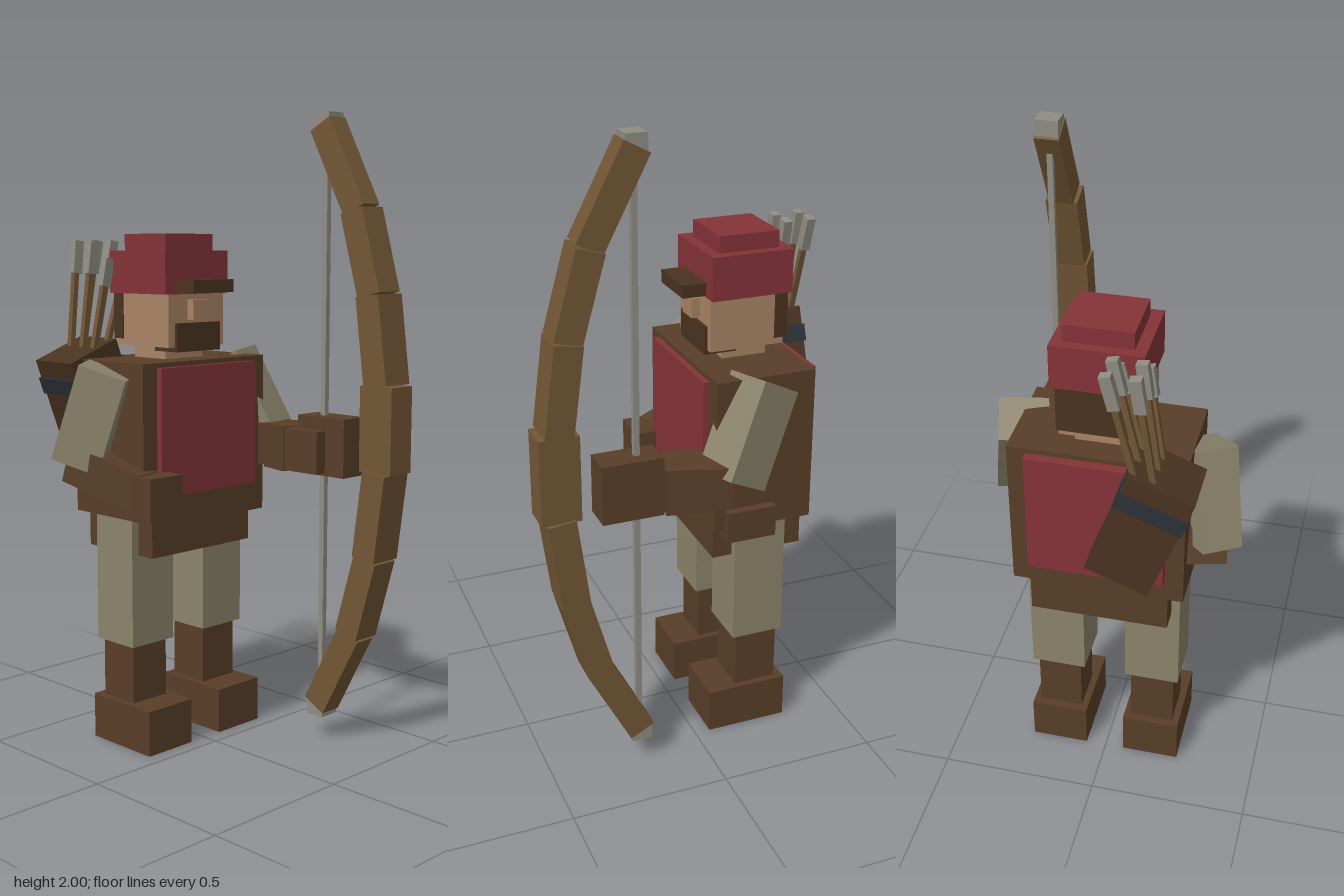
import * as THREE from 'three';

const mat = (color) => new THREE.MeshStandardMaterial({ color, flatShading: true });

export function createModel() {
  const model = new THREE.Group();
  const leather = mat(0x583e28), dark = mat(0x49331f), cloth = mat(0x8b836a), red = mat(0x843338),
    skin = mat(0xa98465), wood = mat(0x725635), metal = mat(0x8f8c82), band = mat(0x2c3136);

  // Box from its lower and upper corners
  function box(name, m, x0, x1, y0, y1, z0, z1, parent = model) {
    const mesh = new THREE.Mesh(new THREE.BoxGeometry(x1 - x0, y1 - y0, z1 - z0), m);
    mesh.position.set((x0 + x1) / 2, (y0 + y1) / 2, (z0 + z1) / 2);
    mesh.name = name;
    parent.add(mesh);
    return mesh;
  }

  // Box running from a to b; hint steers its width axis
  function limb(name, m, a, b, w, d, hint = [1, 0, 0]) {
    const A = new THREE.Vector3(...a), B = new THREE.Vector3(...b);
    const y = B.clone().sub(A), len = y.length();
    y.normalize();
    const z = new THREE.Vector3(...hint).cross(y).normalize();
    const x = y.clone().cross(z);
    const mesh = new THREE.Mesh(new THREE.BoxGeometry(w, len, d), m);
    mesh.quaternion.setFromRotationMatrix(new THREE.Matrix4().makeBasis(x, y, z));
    mesh.position.copy(A.add(B).multiplyScalar(0.5));
    mesh.name = name;
    model.add(mesh);
    return mesh;
  }

  // Legs
  for (const z of [0.152, -0.158]) {
    box('foot', leather, -0.315, -0.05, 0, 0.145, z - 0.092, z + 0.092);
    box('boot', leather, -0.288, -0.148, 0.145, 0.335, z - 0.07, z + 0.07);
    box('trouserLeg', cloth, -0.3, -0.13, 0.335, 0.75, z - 0.087, z + 0.087);
  }

  // Torso
  box('skirt', leather, -0.365, -0.066, 0.63, 0.76, -0.218, 0.212);
  box('jacket', leather, -0.37, -0.05, 0.75, 1.24, -0.27, 0.26);
  box('vestPanel', red, -0.4, -0.03, 0.825, 1.225, -0.212, 0.203);
  box('beltPouch', leather, -0.24, -0.08, 0.72, 0.82, -0.3, -0.2);

  // Head
  box('neck', skin, -0.29, -0.145, 1.23, 1.29, -0.085, 0.08);
  box('head', skin, -0.33, -0.09, 1.28, 1.46, -0.122, 0.117);
  box('hair', dark, -0.342, -0.3, 1.3, 1.45, -0.126, 0.121);
  box('nose', skin, -0.1, -0.063, 1.365, 1.427, -0.038, 0.036);
  box('beard', dark, -0.1, -0.08, 1.268, 1.355, -0.1, 0.09);
  box('chinBeard', dark, -0.185, -0.082, 1.265, 1.283, -0.098, 0.088);
  box('cap', red, -0.348, -0.087, 1.445, 1.58, -0.14, 0.132);
  box('capCrown', red, -0.315, -0.122, 1.58, 1.632, -0.107, 0.097);
  box('capBrim', dark, -0.1, -0.012, 1.45, 1.49, -0.092, 0.083);

  // Arm at the side
  limb('upperArm', cloth, [-0.185, 1.215, 0.285], [-0.275, 0.92, 0.325], 0.155, 0.125, [0.83, 0, -0.56]);
  limb('forearm', leather, [-0.3, 0.925, 0.315], [-0.05, 0.85, 0.25], 0.12, 0.12, [0, 1, 0]);
  box('hand', leather, -0.11, 0.038, 0.77, 0.905, 0.18, 0.312);

  // Arm holding the bow
  limb('upperArm', cloth, [-0.205, 1.225, -0.265], [-0.075, 0.95, -0.325], 0.145, 0.15, [0.95, 0, -0.3]);
  limb('forearm', leather, [-0.075, 0.95, -0.322], [0.05, 0.95, -0.289], 0.135, 0.132, [0, 1, 0]);
  limb('cuff', leather, [0.01, 0.95, -0.3], [0.12, 0.95, -0.271], 0.145, 0.142, [0, 1, 0]);
  box('wrist', leather, 0.1, 0.16, 0.885, 1.02, -0.33, -0.24);
  box('hand', leather, 0.14, 0.33, 0.877, 1.062, -0.33, -0.23);
  box('fingers', leather, 0.12, 0.255, 0.885, 1.02, -0.27, -0.19);

  // Bow, mirrored about its grip
  const bz = -0.28, mid = 1.04;
  box('bowGrip', wood, 0.392, 0.513, 0.907, 1.173, bz - 0.05, bz + 0.05);
  const curve = [[0.454, 0.132], [0.418, 0.406], [0.347, 0.66], [0.209, 0.925]];
  const depths = [0.116, 0.1, 0.076];
  for (const s of [1, -1]) {
    for (let i = 0; i < 3; i++) {
      const [p, q] = [curve[i], curve[i + 1]];
      limb('bowLimb', wood, [p[0], mid + s * p[1], bz], [q[0], mid + s * q[1], bz], 0.086, depths[i]);
    }
    const y = mid + s * 0.935;
    box('bowTip', metal, 0.178, 0.242, y - 0.025, y + 0.025, bz - 0.035, bz + 0.035);
  }
  box('bowString', metal, 0.2, 0.218, 0.1, 1.98, bz - 0.009, bz + 0.009);

  // Quiver leaning outward at the top
  const quiver = new THREE.Group();
  quiver.name = 'quiver';
  quiver.position.set(-0.421, 1.09, 0.152);
  quiver.rotation.x = 0.36;
  box('quiverBody', dark, -0.09, 0.09, -0.185, 0.185, -0.1, 0.1, quiver);
  box('quiverBand', band, -0.096, 0.096, 0.07, 0.125, -0.106, 0.106, quiver);
  model.add(quiver);

  // Arrows in two rows, fletched at the top
  const arrows = [[-0.48, -0.5, 1.61], [-0.42, -0.42, 1.61], [-0.365, -0.345, 1.555]];
  for (const [x0, x1, top] of arrows) {
    for (const [z0, z1] of [[0.19, 0.142], [0.14, 0.06]]) {
      const a = [x0, 1.26, z0], b = [x1, top, z1];
      const at = (t) => a.map((v, i) => v + (b[i] - v) * t);
      limb('arrowShaft', wood, a, at(0.97), 0.018, 0.018);
      limb('arrowFletching', metal, at(0.7), b, 0.028, 0.034);
    }
  }
  return model;
}
